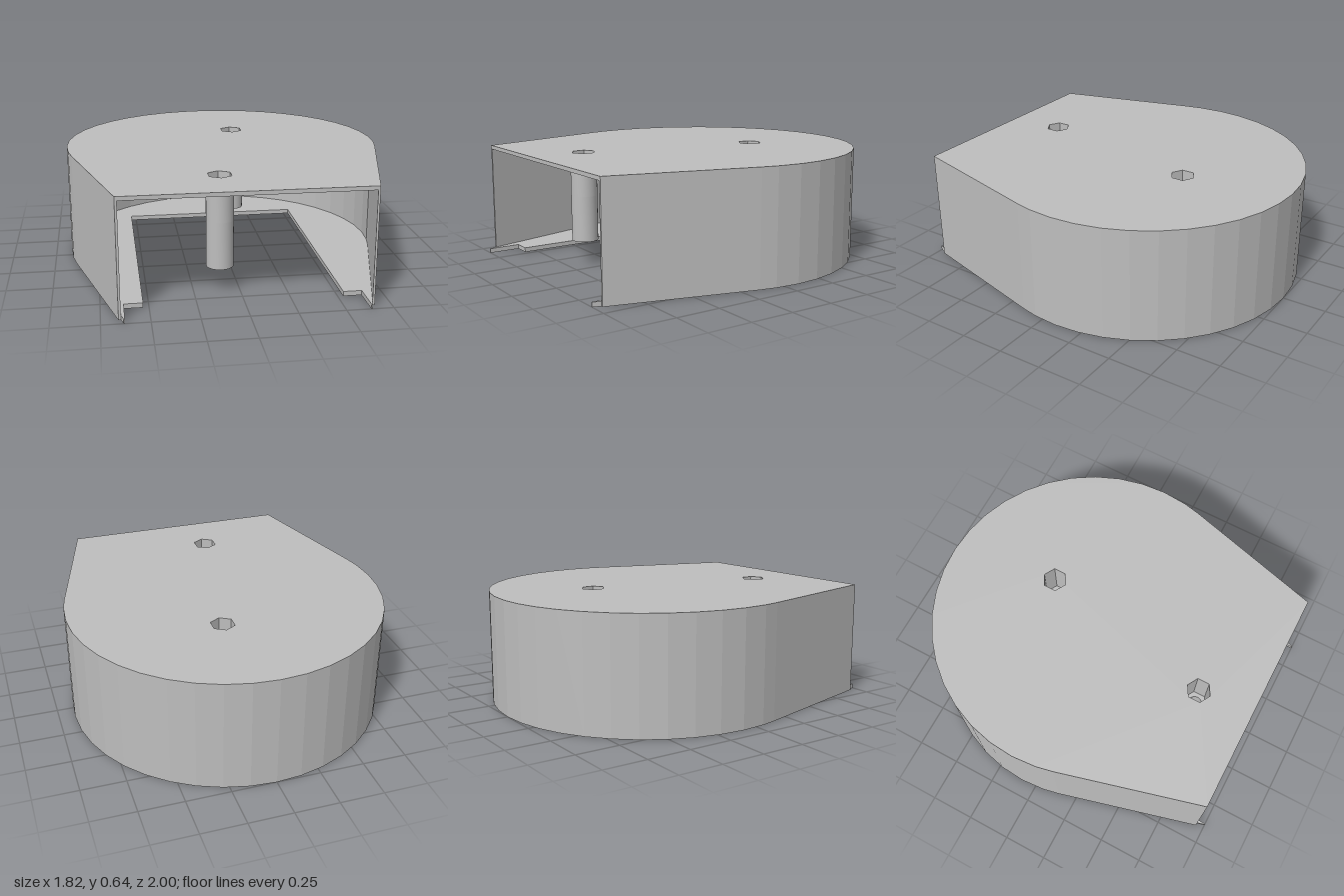
import * as THREE from 'three';
import { toCreasedNormals } from 'three/addons/utils/BufferGeometryUtils.js';

const CENTRE_Z = -0.09;   // centre of the rounded back
const R = 0.91;           // outer radius
const WALL = 0.012;
const FRONT = 0.955;      // z of the open front
const HEIGHT = 0.645;
const ROOF = 0.022;
const FLOOR = 0.026;
const TAPER = THREE.MathUtils.degToRad(15.1);

// Points are (x, -z), so an extrusion turned upright grows along +y.
function outline(r, zEnd) {
  const endX = (r - (zEnd - CENTRE_Z) * Math.sin(TAPER)) / Math.cos(TAPER);
  const step = Math.PI / 20;
  const angles = [-TAPER];
  for (let i = -1; i <= 21; i++) angles.push(i * step);
  angles.push(Math.PI + TAPER);
  return [
    new THREE.Vector2(endX, -zEnd),
    ...angles.map(a => new THREE.Vector2(r * Math.cos(a), r * Math.sin(a) - CENTRE_Z)),
    new THREE.Vector2(-endX, -zEnd),
  ];
}

// Regular polygon around (x, z), with a corner pointing along z
function ring(x, z, r, sides) {
  const pts = [];
  for (let i = 0; i < sides; i++) {
    const a = Math.PI / 2 + (i / sides) * Math.PI * 2;
    pts.push(new THREE.Vector2(x + r * Math.cos(a), -z + r * Math.sin(a)));
  }
  return pts;
}

function slab(points, holes, y0, y1) {
  const shape = new THREE.Shape(points);
  holes.forEach(h => shape.holes.push(new THREE.Path(h)));
  const geo = new THREE.ExtrudeGeometry(shape, { depth: y1 - y0, bevelEnabled: false });
  geo.rotateX(-Math.PI / 2);
  geo.translate(0, y0, 0);
  return geo;
}

export function createModel() {
  const group = new THREE.Group();
  const grey = new THREE.MeshStandardMaterial({ color: 0xbebebe });
  grey.name = 'plain grey';
  const add = (name, geo) => {
    const mesh = new THREE.Mesh(geo, grey);
    mesh.name = name;
    group.add(mesh);
  };

  const screws = [[0.104, -0.39], [-0.106, 0.635]];
  const HEX = 0.069, BORE = 0.038, POST = 0.074;
  const roofBottom = HEIGHT - ROOF;

  // Roof with hexagonal recesses
  add('roof', slab(outline(R, FRONT), screws.map(([x, z]) => ring(x, z, HEX, 6)), roofBottom, HEIGHT));

  // Thin horseshoe wall, open at the front
  const wall = [...outline(R, FRONT), ...outline(R - WALL, FRONT).reverse()];
  add('wall', slab(wall, [], 0, roofBottom));

  // Floor ledge with a wide opening, stepped out at the front to leave two prongs
  const cut = [[-0.63, 1], [-0.63, 0.82], [-0.53, 0.82], [-0.53, -0.6]];
  const opening = [...cut, ...cut.map(([x, z]) => [-x, z]).reverse()]
    .map(([x, z]) => new THREE.Vector2(x, -z));
  add('floorLedge', slab([...outline(R - WALL, 1), ...opening], [], 0, FLOOR));

  // Hollow screw posts: hexagonal socket above, round bore below
  const socketBottom = 0.4;
  for (const [x, z] of screws) {
    const outer = ring(x, z, POST, 40);
    const upper = slab(outer, [ring(x, z, HEX, 6)], socketBottom, roofBottom);
    const lower = slab(outer, [ring(x, z, BORE, 24)], 0.14, socketBottom);
    add('postSocket', toCreasedNormals(upper, 0.5));
    add('postShaft', toCreasedNormals(lower, 0.5));
  }

  return group;
}
